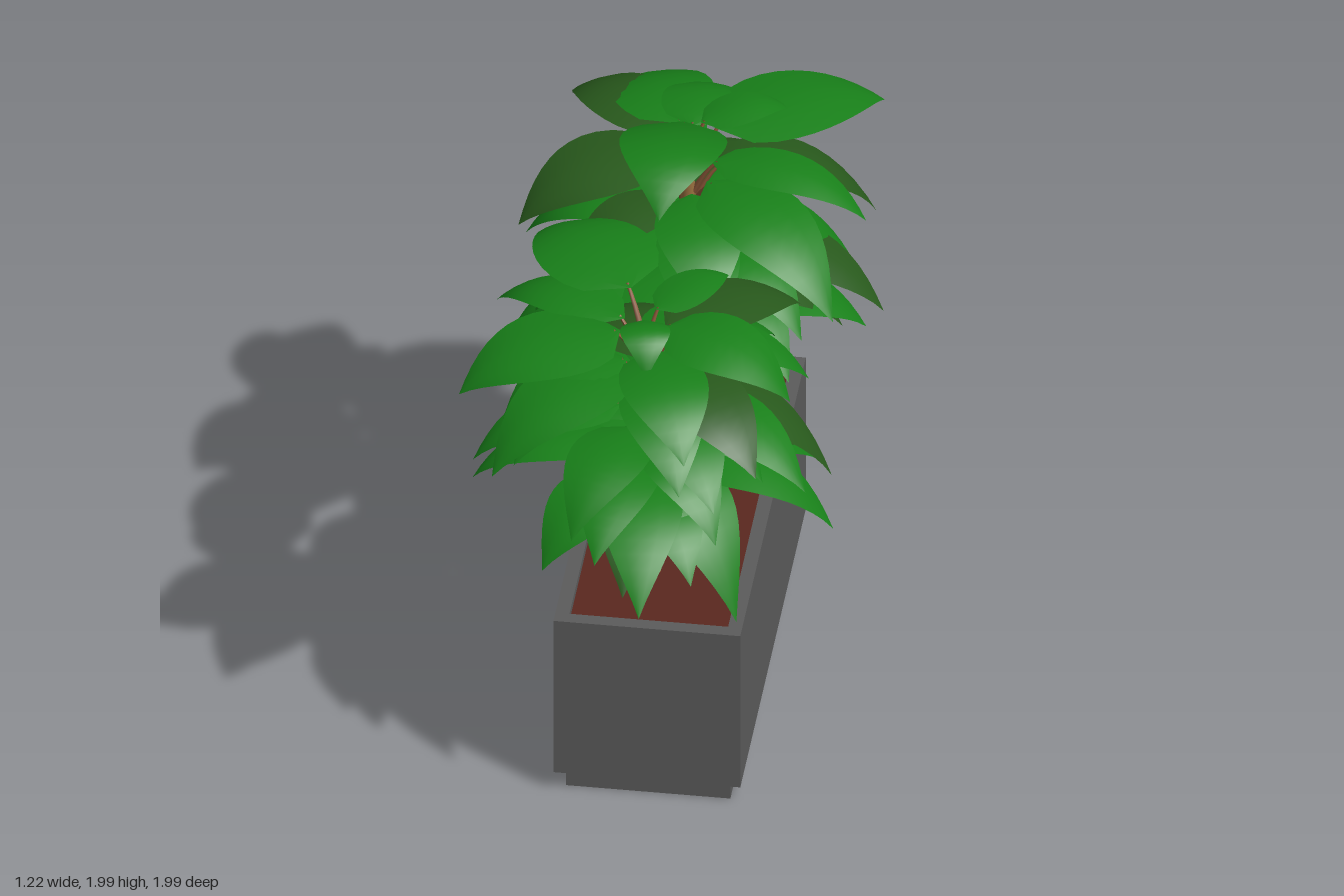
import * as THREE from 'three';

const mat = (name, color, side = THREE.FrontSide) => {
  const m = new THREE.MeshStandardMaterial({ color, side });
  m.name = name;
  return m;
};
const V = (x, y, z) => new THREE.Vector3(x, y, z);

// Grid of points (rows of equal length) turned into a smooth surface
function loft(rows) {
  const n = rows[0].length, pos = [], idx = [];
  rows.forEach(r => r.forEach(p => pos.push(p.x, p.y, p.z)));
  for (let i = 0; i < rows.length - 1; i++) {
    for (let j = 0; j < n - 1; j++) {
      const a = i * n + j, b = a + n;
      idx.push(a, a + 1, b, a + 1, b + 1, b);
    }
  }
  const g = new THREE.BufferGeometry();
  g.setAttribute('position', new THREE.Float32BufferAttribute(pos, 3));
  g.setIndex(idx);
  g.computeVertexNormals();
  return g;
}

// Round stem that tapers along a curve, with optional lengthwise ribs
function stem(curve, r0, r1, sides, steps, rib = 0) {
  const g = new THREE.TubeGeometry(curve, steps, 1, sides, false);
  const p = g.attributes.position, c = V(0, 0, 0), v = V(0, 0, 0);
  for (let i = 0; i <= steps; i++) {
    curve.getPointAt(i / steps, c);
    for (let j = 0; j <= sides; j++) {
      const k = i * (sides + 1) + j;
      const r = (r0 + (r1 - r0) * i / steps) * (j % 2 ? 1 - rib : 1);
      v.fromBufferAttribute(p, k).sub(c).multiplyScalar(r).add(c);
      p.setXYZ(k, v.x, v.y, v.z);
    }
  }
  g.computeVertexNormals();
  return g;
}

// Pointed heart-shaped blade along a drooping midrib
function blade(rib, width) {
  const rows = [], steps = 12, half = 2;
  const a = rib.getPoint(0), b = rib.getPoint(1);
  const side = V(b.z - a.z, 0, a.x - b.x).normalize();
  for (let i = 0; i <= steps; i++) {
    const t = i / steps, c = rib.getPoint(t);
    const up = rib.getTangent(t).cross(side).normalize();
    const w = width / 2 * Math.sqrt(t) * Math.pow(1 - t, 1.12) / 0.367;
    const row = [];
    for (let j = -half; j <= half; j++) {
      const v = j / half;
      row.push(c.clone().addScaledVector(side, v * w).addScaledVector(up, -0.12 * w * v * v));
    }
    rows.push(row);
  }
  return loft(rows);
}

export function createModel() {
  const model = new THREE.Group();
  const grey = mat('planter grey', 0x5c5c5c);
  const soilMat = mat('soil brown', 0x5a281f);
  const bark = mat('bark', 0x9a7040);
  const twig = mat('twig brown', 0x8a5638);
  const green = mat('leaf green', 0x188019, THREE.DoubleSide);
  const olive = mat('leaf olive', 0x28591c, THREE.DoubleSide);
  const add = (parent, name, geo, m) => {
    const mesh = new THREE.Mesh(geo, m);
    mesh.name = name;
    parent.add(mesh);
    return mesh;
  };

  // Planter: hollow trough, soil and recessed plinth
  const cx = 0.008, cz = -0.038;
  const rect = (P, w, d) => {
    const s = new P();
    s.moveTo(-w / 2, -d / 2).lineTo(w / 2, -d / 2).lineTo(w / 2, d / 2).lineTo(-w / 2, d / 2).closePath();
    return s;
  };
  const wall = rect(THREE.Shape, 0.597, 1.508);
  wall.holes.push(rect(THREE.Path, 0.507, 1.418));
  const trough = new THREE.ExtrudeGeometry(wall, { depth: 0.593, bevelEnabled: false });
  add(model, 'planter', trough.rotateX(-Math.PI / 2), grey).position.set(cx, 0.07, cz);
  add(model, 'planterFloor', new THREE.BoxGeometry(0.55, 0.04, 1.46), grey).position.set(cx, 0.091, cz);
  add(model, 'soil', new THREE.BoxGeometry(0.51, 0.5, 1.42), soilMat).position.set(cx, 0.385, cz);
  add(model, 'plinth', new THREE.BoxGeometry(0.525, 0.075, 1.445), grey).position.set(cx, 0.0375, cz);

  // One plant: trunk path, hand-placed leaves, then rings of leaves between them
  function plant(name, path, leaves, rings, away) {
    const group = new THREE.Group();
    group.name = name;
    model.add(group);
    const trunk = new THREE.CatmullRomCurve3(path.map(p => V(...p)));
    const y0 = path[0][1], y1 = path[path.length - 1][1];
    const trunkAt = y => trunk.getPoint(THREE.MathUtils.clamp((y - y0) / (y1 - y0), 0, 1));
    add(group, 'trunk', stem(trunk, 0.056, 0.016, 12, 16, 0.14), bark);

    const leaf = (tipX, tipZ, baseY, tipY, width, isOlive = 0, arch = 0.07) => {
      const root = trunkAt(baseY - 0.15), tip = V(tipX, tipY, tipZ);
      const along = (f, y) => root.clone().lerp(tip, f).setY(y);
      const rib = new THREE.QuadraticBezierCurve3(along(0.13, baseY), along(0.76, baseY + arch), tip);
      const stalk = new THREE.QuadraticBezierCurve3(root, along(0.08, baseY - 0.05), rib.getPoint(0.03));
      add(group, 'leafStalk', stem(stalk, 0.012, 0.005, 5, 5), twig);
      add(group, 'leaf', blade(rib, width), isOlive ? olive : green);
    };
    leaves.forEach(l => leaf(...l));

    const [cX, , cZ] = path[1];
    rings.forEach(([baseY, tipY, count, phase], k) => {
      for (let i = 0; i < count; i++) {
        const wob = Math.sin(i * 2.4 + k * 1.7 + cZ);
        const a = (i + phase + wob * 0.15) / count * Math.PI * 2;
        const reachZ = Math.cos(a) * away > 0 ? 0.51 : 0.53;
        leaf(cX + Math.sin(a) * (0.51 + wob * 0.05), cZ + Math.cos(a) * (reachZ + wob * 0.05),
          baseY + wob * 0.07, tipY + wob * 0.08, 0.25 + 0.03 * Math.cos(i * 3.1 + k), (i + 2 * k) % 8 === 5);
      }
    });
  }

  // Leaf entries: tip x, tip z, base height, tip height, width, olive, arch
  plant('tallPlant',
    [[0.01, 0.6, -0.44], [0.0, 0.98, -0.43], [-0.02, 1.36, -0.45], [-0.02, 1.76, -0.42]],
    [
      [-0.03, 0.17, 1.88, 1.86, 0.34, 0, 0.23],
      [-0.27, -1.0, 1.75, 1.48, 0.33],
      [0.55, -0.86, 1.76, 1.65, 0.36],
      [-0.52, -0.13, 1.74, 1.58, 0.33, 1],
      [0.28, -0.62, 1.8, 1.76, 0.17],
      [0.02, -0.84, 1.76, 1.64, 0.26],
      [-0.45, -0.88, 1.73, 1.56, 0.28, 1],
      [0.5, -0.02, 1.62, 1.38, 0.32],
      [0.55, -0.66, 1.62, 1.36, 0.28, 1],
      [0.61, -0.4, 1.38, 1.16, 0.28, 1],
      [-0.61, -0.38, 1.16, 0.9, 0.28],
      [0.0, -0.91, 1.14, 0.93, 0.26],
      [-0.38, -0.1, 1.1, 0.76, 0.28, 1],
    ],
    [[1.6, 1.44, 6, 0.3], [1.43, 1.26, 7, 0.1], [1.28, 1.1, 6, 0.7], [1.12, 0.97, 6, 0.5]], -1);

  plant('shortPlant',
    [[-0.05, 0.6, 0.365], [-0.05, 0.93, 0.39], [-0.04, 1.26, 0.4], [-0.05, 1.6, 0.38]],
    [
      [-0.43, -0.12, 1.7, 1.58, 0.38],
      [0.4, -0.02, 1.57, 1.44, 0.28, 1],
      [0.19, 0.14, 1.65, 1.65, 0.17],
      [-0.6, 0.66, 1.61, 1.48, 0.36],
      [0.44, 0.53, 1.62, 1.46, 0.31],
      [-0.01, 0.6, 1.65, 1.55, 0.16],
      [0.37, 0.82, 1.52, 1.36, 0.29, 1],
      [-0.47, 0.84, 1.5, 1.3, 0.31],
      [0.51, 0.68, 1.4, 1.22, 0.27],
      [0.25, 0.92, 1.42, 1.28, 0.26],
      [0.55, 0.36, 1.36, 1.06, 0.28, 1],
      [0.56, 0.4, 1.12, 0.88, 0.28],
      [-0.13, 0.93, 1.2, 1.05, 0.25],
      [0.02, 0.99, 1.14, 0.9, 0.27],
      [-0.05, 0.86, 1.07, 0.88, 0.24, 1],
      [0.3, 0.76, 1.1, 0.75, 0.29],
    ],
    [[1.54, 1.4, 5, 0.25], [1.42, 1.26, 6, 0.2], [1.27, 1.1, 6, 0.7], [1.12, 0.97, 6, 0.55]], 1);

  return model;
}
